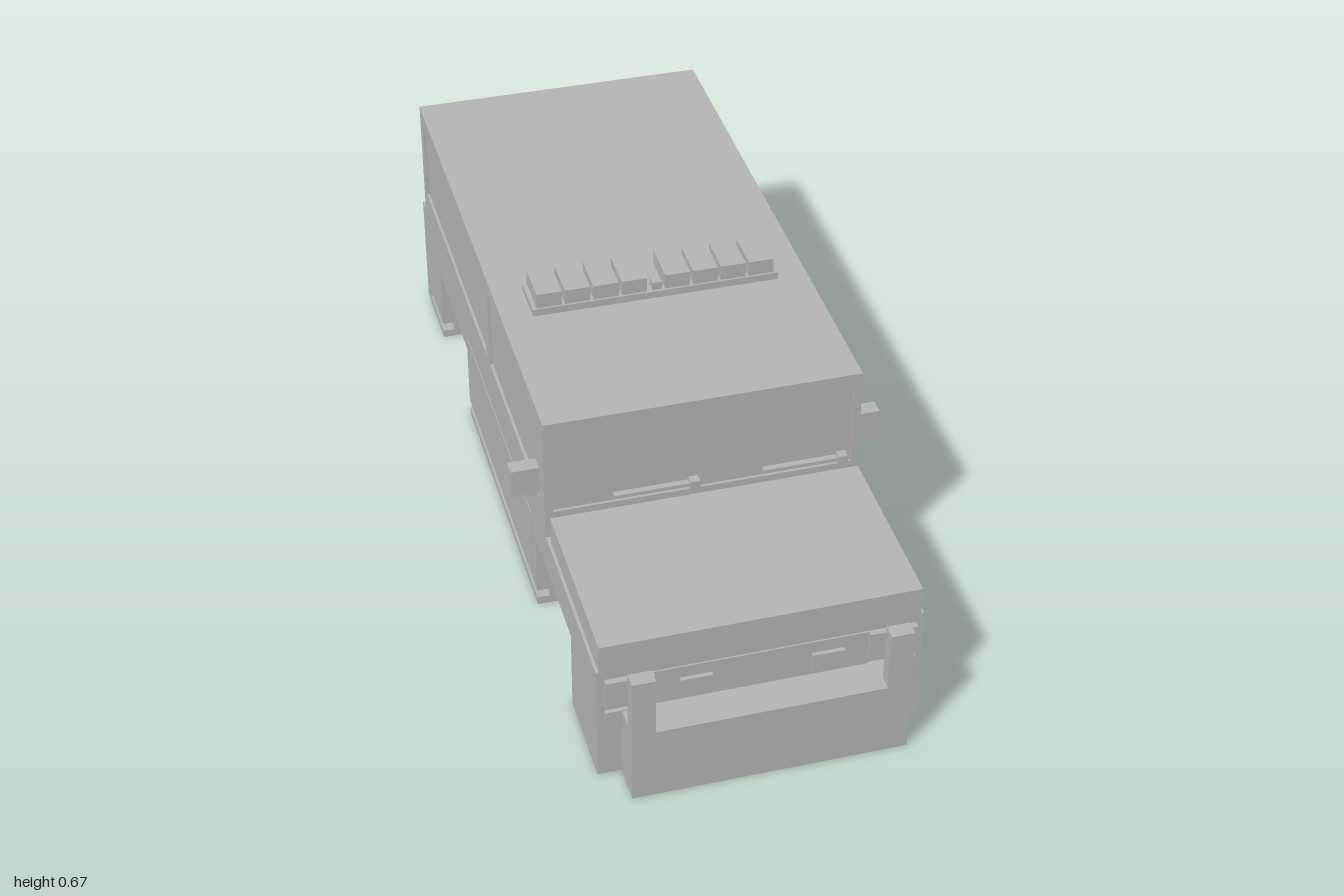
import * as THREE from 'three';

const SIDE = 0.368;          // half width of the body
const SKIN = 0.361;          // half width behind the window recesses
const FRONT = 0.443, REAR = -0.938; // cabin ends behind the glass frames

export function createModel() {
  const group = new THREE.Group();
  const grey = new THREE.MeshStandardMaterial({ color: 0xb3b3b3 });
  grey.name = 'body grey';

  const add = (name, geometry) => {
    const mesh = new THREE.Mesh(geometry, grey);
    mesh.name = name;
    group.add(mesh);
    return mesh;
  };

  // Box given by its limits
  const box = (name, x0, x1, y0, y1, z0, z1) => {
    const g = new THREE.BoxGeometry(x1 - x0, y1 - y0, z1 - z0);
    g.translate((x0 + x1) / 2, (y0 + y1) / 2, (z0 + z1) / 2);
    return add(name, g);
  };
  // The same box on both sides
  const pair = (name, x0, x1, ...rest) => {
    box(name + 'Left', x0, x1, ...rest);
    box(name + 'Right', -x1, -x0, ...rest);
  };

  const outline = (points, Type = THREE.Shape) => new Type(points.map(([a, b]) => new THREE.Vector2(a, b)));
  const rect = (a0, a1, b0, b1) => outline([[a0, b0], [a1, b0], [a1, b1], [a0, b1]], THREE.Path);

  // Side profile (z, y) extruded across x; holes are [z0, z1, y0, y1]
  const slab = (name, points, holes, x0, x1) => {
    const shape = outline(points.map(([z, y]) => [-z, y]));
    shape.holes = holes.map(([z0, z1, y0, y1]) => rect(-z1, -z0, y0, y1));
    const g = new THREE.ExtrudeGeometry(shape, { depth: x1 - x0, bevelEnabled: false });
    g.rotateY(Math.PI / 2);
    g.translate(x0, 0, 0);
    return add(name, g);
  };
  const slabPair = (name, points, holes, x0, x1) => {
    slab(name + 'Left', points, holes, x0, x1);
    slab(name + 'Right', points, holes, -x1, -x0);
  };

  // Upper edge of the body, from rear bottom to front bottom
  const upper = hood => [
    [-0.985, 0], [-0.985, 0.3], [REAR, 0.3], [REAR, 0.617], [FRONT, 0.617], [FRONT, 0.3],
    ...(hood ? [[0.47, 0.3], [0.47, 0.37], [0.91, 0.37]] : [[0.91, 0.3]]), [0.91, 0],
  ];
  const frontArch = [[0.68, 0], [0.68, 0.205], [0.335, 0.205]];
  const rearArch = [[-0.43, 0.205], [-0.775, 0.205]];
  const arches = [...frontArch, [0.335, 0], [-0.43, 0], ...rearArch, [-0.775, 0]];
  // Arches with the long sill grooves cut in
  const grooved = [...frontArch, [0.335, 0.043], [-0.43, 0.043], ...rearArch,
    [-0.775, 0.043], [-0.948, 0.043], [-0.948, 0.02], [-0.775, 0.02], [-0.775, 0]];
  const slot = [-0.948, -0.93, 0.02, 0.043];
  const windows = [[-0.13, 0.39, 0.37, 0.58], [-0.91, -0.17, 0.37, 0.58]];

  // Body in layers from the middle outwards
  slab('bodyCore', upper(true), [slot], -0.223, 0.223);
  slabPair('wheelArchBody', [...upper(true), ...arches], [slot], 0.223, 0.338);
  slabPair('grooveBody', [...upper(true), ...grooved], [], 0.338, SKIN);
  slabPair('sidePanel', [...upper(false), ...grooved], windows, SKIN, SIDE);
  pair('sill', 0.338, SIDE, 0, 0.02, -0.43, 0.335);
  pair('lowerDoorPanel', SIDE - 0.004, SIDE + 0.002, 0.07, 0.25, -0.41, 0.3);

  // Window frames at both ends of the cabin
  const frame = (name, bottom, z) => {
    const shape = outline([[-SIDE, 0.3], [SIDE, 0.3], [SIDE, 0.617], [-SIDE, 0.617]]);
    shape.holes.push(rect(-0.35, 0.35, bottom, 0.58));
    const g = new THREE.ExtrudeGeometry(shape, { depth: 0.007, bevelEnabled: false });
    g.translate(0, 0, z);
    add(name, g);
  };
  frame('windshieldFrame', 0.37, FRONT);
  frame('rearWindowFrame', 0.345, REAR - 0.007);

  // Front bumper with uprights
  box('bumper', -0.313, 0.313, 0, 0.185, 0.905, 1);
  pair('bumperPost', 0.26, 0.313, 0.185, 0.333, 0.965, 1);

  // Grille and front lamps
  box('grille', -0.242, 0.242, 0.185, 0.277, 0.905, 0.914);
  pair('headlight', 0.242, 0.35, 0.205, 0.277, 0.905, 0.925);
  pair('grilleLamp', 0.112, 0.185, 0.205, 0.247, 0.905, 0.924);
  pair('turnSignal', 0.29, 0.35, 0.145, 0.188, 0.905, 0.92);

  // Mirrors
  pair('mirror', SIDE, 0.433, 0.39, 0.461, 0.363, 0.4);

  // Wipers
  for (const x of [-0.21, 0.14]) {
    box('wiperArm', x, x + 0.178, 0.383, 0.392, 0.443, 0.458);
    box('wiperPivot', x + 0.176, x + 0.198, 0.377, 0.4, 0.443, 0.465);
  }

  // Roof light bar
  box('lightBarBase', -0.295, 0.295, 0.617, 0.635, -0.07, 0.045);
  for (let i = 0; i < 4; i++) {
    const x = 0.022 + i * 0.0675;
    pair('roofLamp', x, x + 0.06, 0.635, 0.672, -0.064, 0.04);
  }
  box('lightBarSensor', -0.011, 0.011, 0.643, 0.663, 0.02, 0.05);

  // Rear fittings
  pair('tailLampTop', 0.26, 0.35, 0.268, 0.31, -0.994, -0.975);
  pair('tailLamp', 0.26, 0.35, 0.192, 0.264, -1, -0.98);
  box('rearPlate', -0.057, 0.057, 0.2, 0.245, -1, -0.98);
  pair('rearWindowLamp', 0.117, 0.185, 0.537, 0.565, -0.957, -0.935);

  return group;
}
